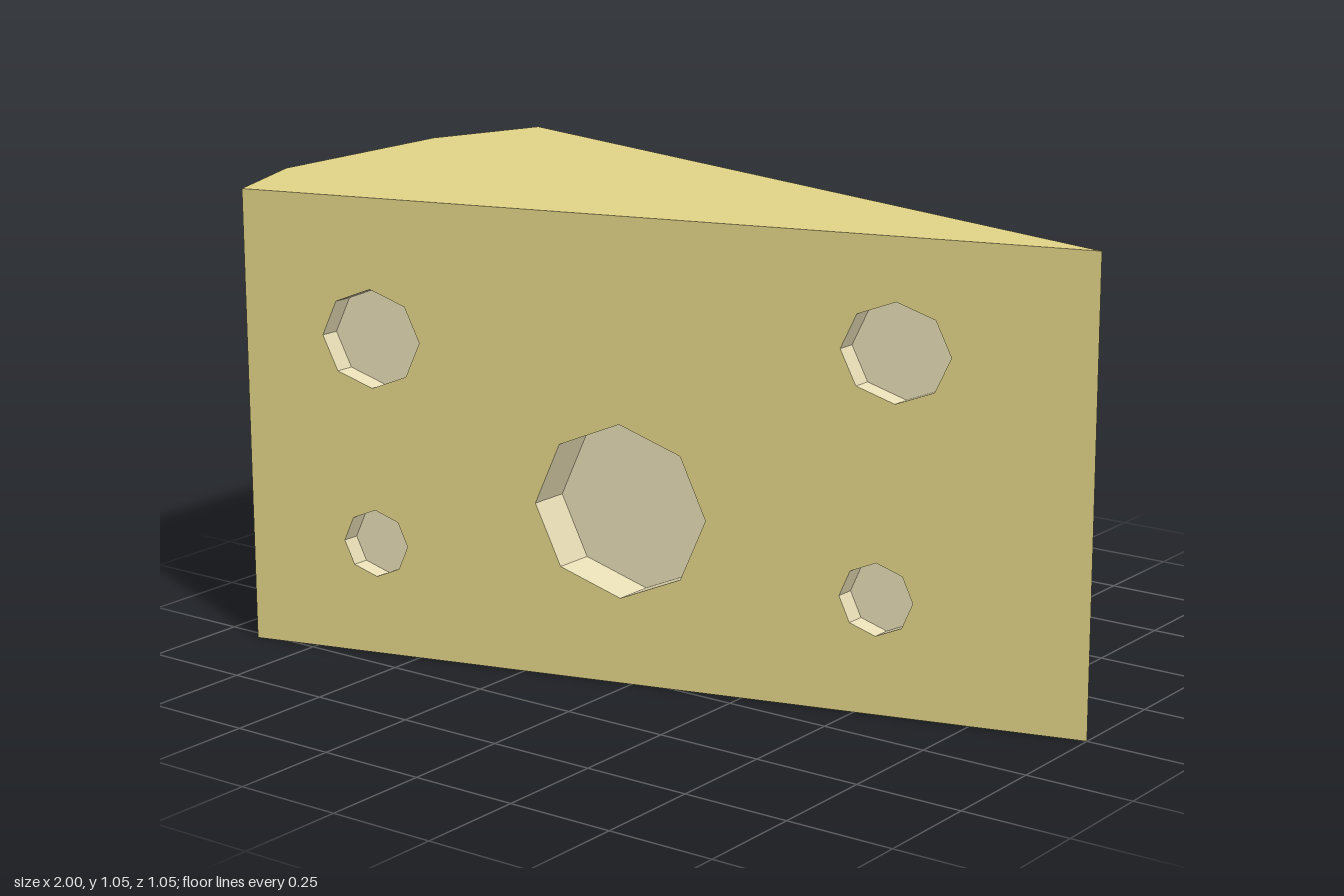
import * as THREE from 'three';

const H = 1.055;            // wedge height
const BACK = -0.9;          // x of the two outer corners
const HALF = 0.525;         // z of the two outer corners
const SLOPE = HALF / (1 - BACK);
const RIND = [[BACK, -HALF], [-1, -0.245], [-1, 0.275], [BACK, HALF]]; // x, z

// hollows: x, y, x radius, y radius, depth
const FRONT_HOLES = [
  [-0.6, 0.735, 0.115, 0.113, 0.045],
  [0.58, 0.805, 0.118, 0.11, 0.045],
  [-0.025, 0.395, 0.194, 0.198, 0.095],
  [-0.6, 0.26, 0.076, 0.078, 0.04],
  [0.545, 0.26, 0.08, 0.082, 0.045],
];
const BACK_HOLES = [
  [0.378, 0.79, 0.113, 0.088, 0.045],
  [-0.204, 0.797, 0.091, 0.08, 0.052],
  [0.593, 0.392, 0.123, 0.118, 0.07],
  [-0.03, 0.395, 0.154, 0.168, 0.072],
  [-0.62, 0.53, 0.073, 0.073, 0.032],
  [-0.44, 0.217, 0.057, 0.062, 0.03],
];

const cheese = new THREE.MeshStandardMaterial({ color: 0xe3d588 });
const hollow = new THREE.MeshStandardMaterial({ color: 0xe6dcb4, flatShading: true });

function addMesh(parent, name, geometry, material) {
  const mesh = new THREE.Mesh(geometry, material);
  mesh.name = name;
  parent.add(mesh);
}

// One sloping cut side with its hollows; side is +1 for front, -1 for back
function cutSide(side, holes) {
  const group = new THREE.Group();
  group.name = side > 0 ? 'frontSide' : 'backSide';

  // Push a flat x-y geometry out onto the slope, turning it round for the back
  const place = (geometry) => {
    const p = geometry.attributes.position;
    for (let i = 0; i < p.count; i++) {
      p.setZ(i, p.getZ(i) + SLOPE * (1 - side * p.getX(i)));
    }
    if (side < 0) geometry.rotateY(Math.PI);
    geometry.computeVertexNormals();
    return geometry;
  };

  const a = side * BACK, b = side;
  const face = new THREE.Shape([[a, 0], [b, 0], [b, H], [a, H]].map(([x, y]) => new THREE.Vector2(x, y)));
  for (const [x, y, rx, ry, depth] of holes) {
    const ring = [];
    for (let i = 0; i < 8; i++) {
      const t = i * Math.PI / 4;
      ring.push(new THREE.Vector2(side * x + rx * Math.cos(t), y + ry * Math.sin(t)));
    }
    face.holes.push(new THREE.Path(ring));

    // Mirrored open cylinder, so that its wall faces inward
    const wall = new THREE.CylinderGeometry(1, 1, 1, 8, 1, true)
      .translate(0, -0.5, 0).rotateX(Math.PI / 2)
      .scale(-rx, ry, depth).translate(side * x, y, 0);
    addMesh(group, 'holeWall', place(wall), hollow);

    const floor = new THREE.CircleGeometry(1, 8).scale(rx, ry, 1).translate(side * x, y, -depth);
    addMesh(group, 'holeFloor', place(floor), hollow);
  }
  addMesh(group, 'cutFace', place(new THREE.ShapeGeometry(face)), cheese);
  return group;
}

export function createModel() {
  const model = new THREE.Group();
  model.name = 'cheeseWedge';
  model.add(cutSide(1, FRONT_HOLES), cutSide(-1, BACK_HOLES));

  // Top and bottom
  const outline = (s) => new THREE.Shape([[1, 0], ...RIND].map(([x, z]) => new THREE.Vector2(x, s * z)));
  addMesh(model, 'top', new THREE.ShapeGeometry(outline(-1)).rotateX(-Math.PI / 2).translate(0, H, 0), cheese);
  addMesh(model, 'bottom', new THREE.ShapeGeometry(outline(1)).rotateX(Math.PI / 2), cheese);

  // Smoothly shaded outer rind
  const rind = new THREE.PlaneGeometry(1, 1, RIND.length - 1, 1);
  const p = rind.attributes.position;
  for (let i = 0; i < p.count; i++) {
    const [x, z] = RIND[i % RIND.length];
    p.setXYZ(i, x, p.getY(i) > 0 ? H : 0, z);
  }
  rind.computeVertexNormals();
  addMesh(model, 'rind', rind, cheese);

  return model;
}
